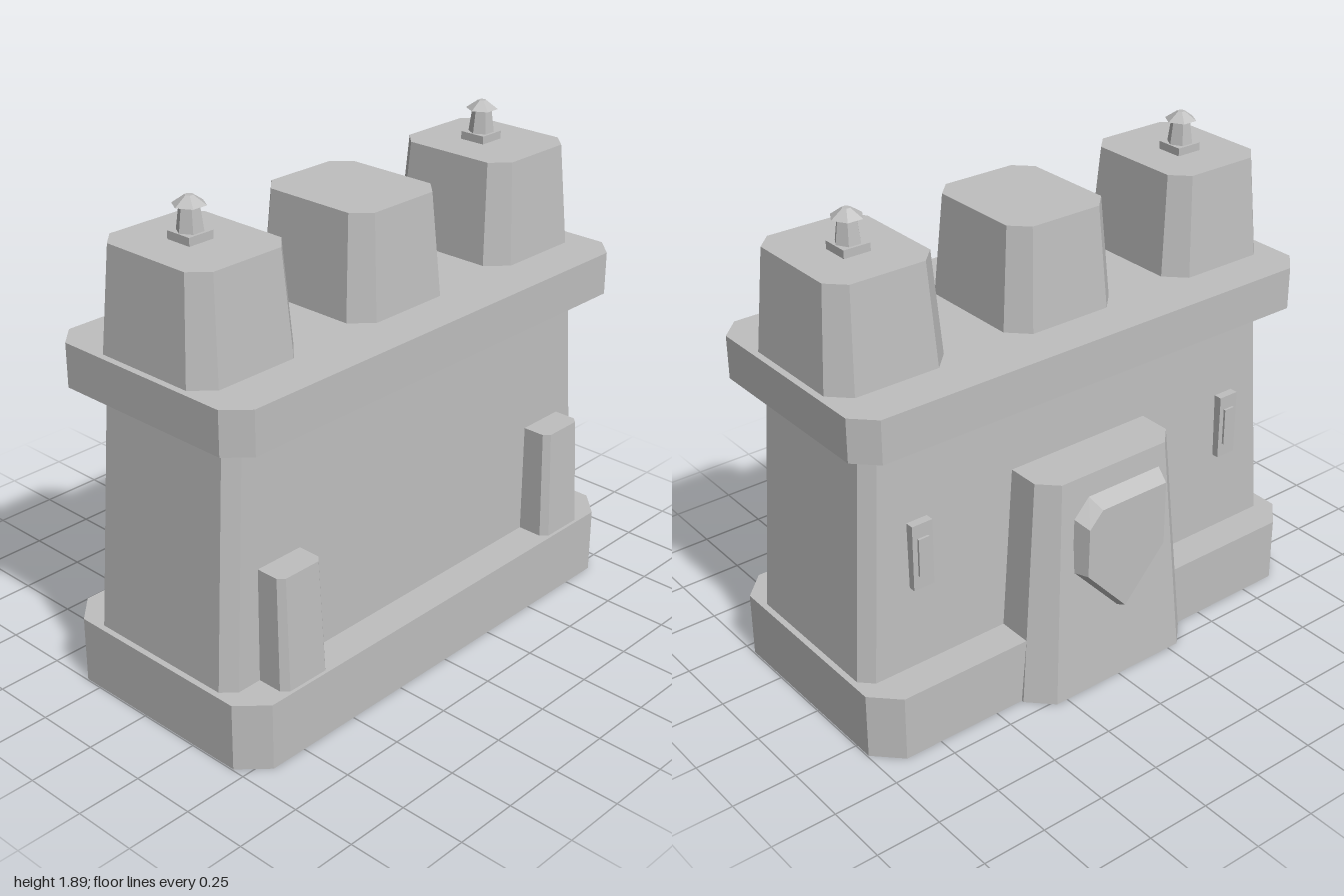
import * as THREE from 'three';

const stone = new THREE.MeshStandardMaterial({ color: 0xbebebe, side: THREE.DoubleSide });
stone.name = 'grey stone';

// Flat-faced solid between two matching loops, capped at the end and optionally at the start
function loft(name, a, b, capStart = false) {
  const pos = [];
  const tri = (...pts) => pts.forEach((p) => pos.push(...p));
  const n = a.length;
  for (let i = 0; i < n; i++) {
    const j = (i + 1) % n;
    tri(a[i], a[j], b[j]);
    tri(a[i], b[j], b[i]);
    if (i > 0 && i < n - 1) {
      tri(b[0], b[i], b[i + 1]);
      if (capStart) tri(a[0], a[i + 1], a[i]);
    }
  }
  const g = new THREE.BufferGeometry();
  g.setAttribute('position', new THREE.Float32BufferAttribute(pos, 3));
  g.computeVertexNormals();
  const mesh = new THREE.Mesh(g, stone);
  mesh.name = name;
  return mesh;
}

// Rectangle at height y with chamfered front (cf) and back (cb) corners
function section(y, cx, halfX, zBack, zFront, cf, cb = cf) {
  const l = cx - halfX, r = cx + halfX;
  const front = cf ? [[l, y, zFront - cf], [l + cf, y, zFront], [r - cf, y, zFront], [r, y, zFront - cf]]
    : [[l, y, zFront], [r, y, zFront]];
  const back = cb ? [[r, y, zBack + cb], [r - cb, y, zBack], [l + cb, y, zBack], [l, y, zBack + cb]]
    : [[r, y, zBack], [l, y, zBack]];
  return [...front, ...back];
}

function box(name, w, h, d, x, y, z) {
  const mesh = new THREE.Mesh(new THREE.BoxGeometry(w, h, d), stone);
  mesh.name = name;
  mesh.position.set(x, y, z);
  return mesh;
}

function hexagon(name, rTop, rBottom, y0, y1) {
  const g = new THREE.CylinderGeometry(rTop, rBottom, y1 - y0, 6).toNonIndexed();
  g.computeVertexNormals();
  g.rotateY(Math.PI / 6);
  const mesh = new THREE.Mesh(g, stone);
  mesh.name = name;
  mesh.position.y = (y0 + y1) / 2;
  return mesh;
}

// Small lantern-like ornament on a square foot
function finial(x) {
  const g = new THREE.Group();
  g.name = 'finial';
  g.add(box('finialFoot', 0.105, 0.03, 0.105, 0, 0.015, 0));
  g.add(hexagon('finialPost', 0.036, 0.048, 0.03, 0.118));
  g.add(hexagon('finialCap', 0.015, 0.06, 0.118, 0.15));
  g.position.set(x, 1.74, 0.04);
  return g;
}

// Raised slit window on the back wall
function slitWindow(x) {
  const g = new THREE.Group();
  g.name = 'slitWindow';
  g.add(box('windowFrame', 0.085, 0.26, 0.06, x, 0.72, -0.275));
  g.add(box('windowSlit', 0.045, 0.15, 0.009, x, 0.72, -0.3095));
  return g;
}

export function createModel() {
  const model = new THREE.Group();
  model.name = 'gatehouse';

  // Hollow plinth, tapered wall and overhanging platform
  model.add(loft('plinth', section(0, 0, 0.995, -0.42, 0.545, 0.097), section(0.26, 0, 0.995, -0.42, 0.545, 0.097)));
  model.add(loft('wall', section(0.26, 0, 0.972, -0.285, 0.41, 0.048), section(1.19, 0, 0.907, -0.265, 0.39, 0.046)));
  model.add(loft('platform', section(1.19, 0, 1, -0.387, 0.515, 0.08), section(1.355, 0, 1, -0.387, 0.515, 0.08), true));

  // Three battlements
  for (const x of [-0.735, 0, 0.735]) {
    model.add(loft('battlement', section(1.355, x, 0.24, -0.215, 0.335, 0.073), section(1.74, x, 0.21, -0.187, 0.305, 0.063)));
  }

  // Paired details
  for (const s of [-1, 1]) {
    model.add(finial(0.735 * s));
    model.add(slitWindow(0.72 * s));
    model.add(loft('frontButtress', section(0.14, 0.715 * s, 0.113, 0.33, 0.538, 0.026, 0),
      section(0.69, 0.715 * s, 0.099, 0.33, 0.51, 0.022, 0)));
  }

  // Large sloping buttress on the back
  model.add(loft('backButtress', section(0, 0, 0.385, -0.518, -0.1, 0, 0.088), section(0.89, 0, 0.308, -0.465, -0.1, 0, 0.068)));

  // Bevelled shield with one clipped corner
  const outline = [[-0.2, 0.81], [0.13, 0.81], [0.195, 0.74], [0.2, 0.52], [0, 0.295], [-0.2, 0.52]];
  const rim = outline.map(([x, y]) => [x, y, -0.48]);
  const face = outline.map(([x, y]) => [x * 0.9, 0.555 + (y - 0.555) * 0.88, -0.543]);
  model.add(loft('shield', rim, face, true));

  return model;
}
